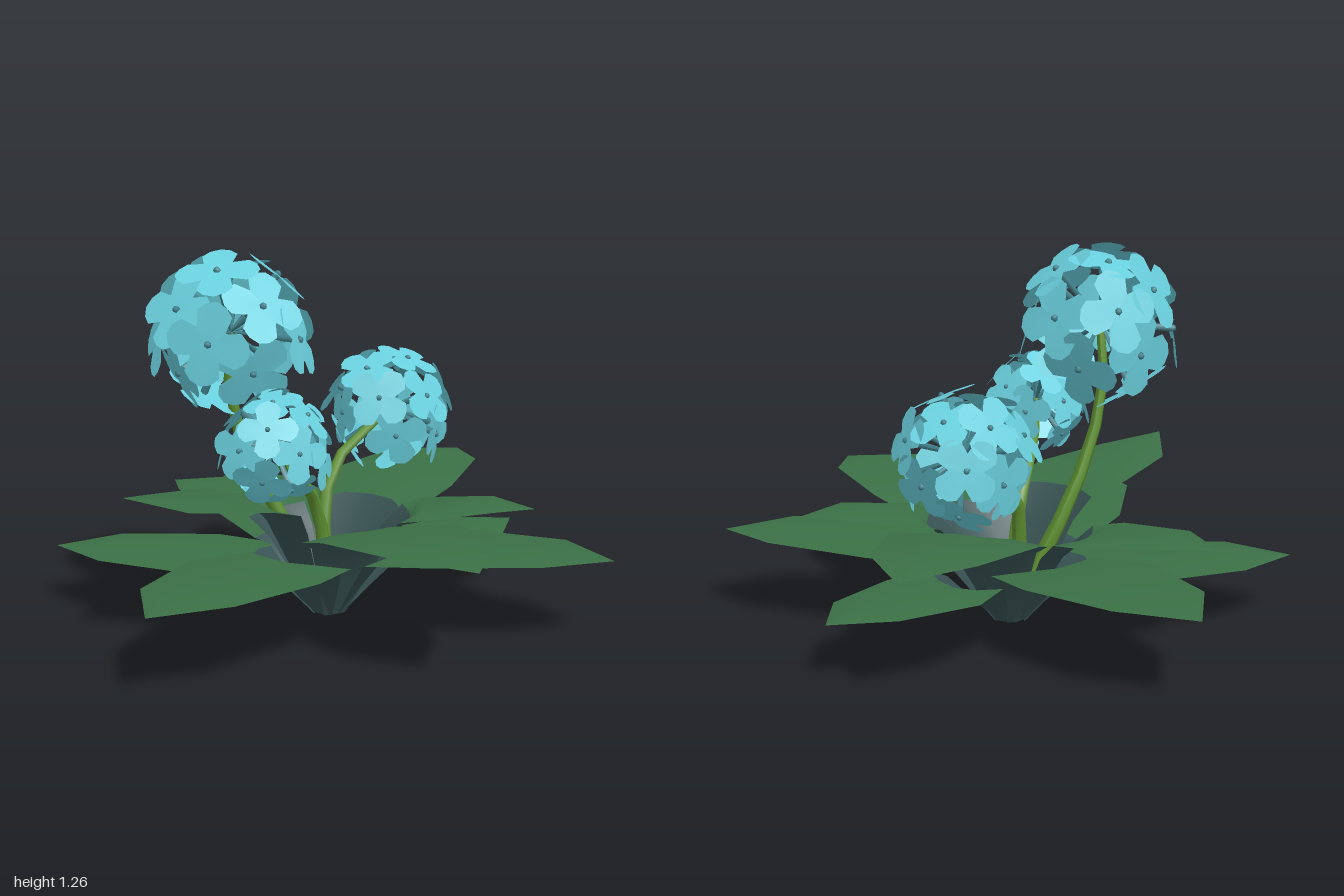
import * as THREE from 'three';

const mat = (name, color, side = THREE.FrontSide) => {
  const m = new THREE.MeshStandardMaterial({ color, side });
  m.name = name;
  return m;
};

const BASE = new THREE.Vector3(0.05, 0, -0.04);
const SHEATH_R = 0.28;

// Piecewise linear lookup in a list of [x, y] points
function lookup(points, x) {
  for (let i = 1; i < points.length; i++) {
    const [x0, y0] = points[i - 1], [x1, y1] = points[i];
    if (x <= x1) return y0 + (y1 - y0) * (x - x0) / (x1 - x0);
  }
  return points[points.length - 1][1];
}

// Surface through rows of points, facing up
function strip(rows) {
  const n = rows[0].length, index = [];
  for (let i = 0; i < rows.length - 1; i++) {
    for (let j = 0; j < n - 1; j++) {
      const a = i * n + j, b = a + n;
      index.push(a, a + 1, b, a + 1, b + 1, b);
    }
  }
  const g = new THREE.BufferGeometry();
  g.setAttribute('position', new THREE.Float32BufferAttribute(rows.flat(2), 3));
  g.setIndex(index);
  g.computeVertexNormals();
  return g;
}

// One leaf: steep dark sheath, then a broad, nearly level pointed blade
function makeLeaf({ tip, h, width = 1, tipH = 0.93 }, sheathMat, bladeMat) {
  const dx = tip[0] - BASE.x, dz = tip[1] - BASE.z;
  const len = Math.hypot(dx, dz);
  const height = [[0.045, 0], [0.21, 0.75 * h], [SHEATH_R, 0.84 * h],
    [0.45 * len, 0.94 * h], [0.8 * len, h], [len, tipH * h]];
  const row = (a, w, cup = 0, round = false) => [-1, -0.5, 0, 0.5, 1].map((u) => {
    const side = u * w * width;
    const along = round ? Math.sqrt(a * a - side * side) : a;
    return [along, lookup(height, along) + cup * u * u, side];
  });
  const edge = row(SHEATH_R, 0.2, 0.03, true);
  const sheath = strip([row(0.045, 0.04), row(0.11, 0.1, 0.025), row(0.175, 0.155, 0.04), edge]);
  const blade = strip([edge, row(0.45 * len, 0.25, -0.012), row(0.8 * len, 0.175, -0.014), row(len, 0.001)]);

  const leaf = new THREE.Group();
  leaf.name = 'leaf';
  const s = new THREE.Mesh(sheath, sheathMat);
  s.name = 'leafSheath';
  const b = new THREE.Mesh(blade, bladeMat);
  b.name = 'leafBlade';
  leaf.add(s, b);
  leaf.position.copy(BASE);
  leaf.rotation.y = -Math.atan2(dz, dx);
  return leaf;
}

// Tapered stem along a curve
function makeStem(points, r0, r1, material) {
  const curve = new THREE.CatmullRomCurve3(points.map((p) => new THREE.Vector3(...p)));
  const rings = 6, sides = 6;
  const g = new THREE.TubeGeometry(curve, rings, 1, sides, false);
  const p = g.attributes.position, c = new THREE.Vector3(), v = new THREE.Vector3();
  for (let i = 0; i < p.count; i++) {
    const t = Math.floor(i / (sides + 1)) / rings;
    curve.getPointAt(t, c);
    v.fromBufferAttribute(p, i).sub(c).multiplyScalar(r0 + (r1 - r0) * t).add(c);
    p.setXYZ(i, v.x, v.y, v.z);
  }
  g.computeVertexNormals();
  const stem = new THREE.Mesh(g, material);
  stem.name = 'stem';
  return stem;
}

// Four broad notched petals on a unit disc facing +y, nearly flat
function petalGeometry() {
  const g = new THREE.CircleGeometry(1, 24);
  const p = g.attributes.position;
  const lobes = [0.52, 0.9, 1.02, 1.08, 1.02, 0.9];
  for (let i = 1; i < p.count; i++) {
    const k = lobes[(i - 1) % 6];
    p.setXYZ(i, p.getX(i) * k, p.getY(i) * k, -0.05 * k * k);
  }
  g.rotateX(-Math.PI / 2);
  g.computeVertexNormals();
  return g;
}

export function createModel() {
  const group = new THREE.Group();
  group.name = 'floweringPlant';
  const leafMat = mat('leaf green', 0x3b7046, THREE.DoubleSide);
  const sheathMat = mat('dark slate green', 0x385253, THREE.DoubleSide);
  const stemMat = mat('stem green', 0x5f9132);
  const petalMat = mat('petal blue', 0x6ad0de, THREE.DoubleSide);
  const stalkMat = mat('dark teal', 0x43858f);

  // Leaf rosette, from the low outer leaves to the upright inner ones
  const leaves = [
    { tip: [-0.43, -0.87], h: 0.215 },
    { tip: [0.88, 0.18], h: 0.205, width: 0.82 },
    { tip: [0.58, -0.91], h: 0.29 },
    { tip: [0.35, 0.90], h: 0.295 },
    { tip: [-1.0, 0.08], h: 0.29 },
    { tip: [0.99, -0.13], h: 0.425 },
    { tip: [-0.36, 0.83], h: 0.42 },
    { tip: [0.10, -0.79], h: 0.37, width: 0.72 },
    { tip: [0.43, 0.55], h: 0.405, width: 0.66 },
    { tip: [-0.71, -0.28], h: 0.49, width: 0.82, tipH: 1.06 },
  ];
  for (const spec of leaves) group.add(makeLeaf(spec, sheathMat, leafMat));

  // Thin root collar closing the bottom of the rosette
  const collar = new THREE.Mesh(new THREE.CylinderGeometry(0.055, 0.05, 0.01, 10), sheathMat);
  collar.name = 'rootCollar';
  collar.position.set(BASE.x, 0.005, BASE.z);
  group.add(collar);

  // Flower heads: stem path ends at the centre of each ball
  const petals = petalGeometry();
  const stalk = new THREE.CylinderGeometry(0.014, 0.004, 1, 5).translate(0, 0.5, 0);
  const eye = new THREE.SphereGeometry(1, 6, 4);
  const up = new THREE.Vector3(0, 1, 0);
  const heads = [
    { name: 'tallFlowerHead', R: 0.238, r: 0.13, count: 16, axis: [-0.05, 1, -0.25], stemR: 0.032,
      path: [[0.05, 0.02, -0.05], [-0.05, 0.38, -0.2], [-0.15, 0.6, -0.25], [-0.2, 0.82, -0.27], [-0.21, 0.99, -0.25]] },
    { name: 'leftFlowerHead', R: 0.195, r: 0.105, count: 16, axis: [0.45, 0.9, 0], stemR: 0.03,
      path: [[0.06, 0.02, -0.04], [0.1, 0.33, -0.1], [0.18, 0.49, -0.11], [0.32, 0.58, -0.09], [0.45, 0.65, -0.07]] },
    { name: 'rightFlowerHead', R: 0.16, r: 0.09, count: 16, axis: [-0.45, 0.9, 0.1], stemR: 0.028,
      path: [[0.04, 0.02, -0.03], [0.0, 0.38, -0.05], [-0.12, 0.5, -0.03], [-0.28, 0.585, 0.02], [-0.37, 0.67, 0.06]] },
  ];
  for (const { name, R, r, count, axis, stemR, path } of heads) {
    group.add(makeStem(path, stemR, 0.014, stemMat));
    const head = new THREE.Group();
    head.name = name;
    head.position.set(...path[path.length - 1]);
    head.quaternion.setFromUnitVectors(up, new THREE.Vector3(...axis).normalize());
    // Florets spread round the ball, each a little tilted, with a gap for the stem
    for (let i = 0; i < count; i++) {
      const y = 0.95 - 1.7 * i / (count - 1);
      const a = i * 2.39996, s = Math.sqrt(1 - y * y);
      const floret = new THREE.Group();
      floret.name = 'floret';
      floret.quaternion.setFromUnitVectors(up, new THREE.Vector3(s * Math.cos(a), y, s * Math.sin(a)));
      const reach = R * (i % 2 ? 1.03 : 0.95);
      const stem = new THREE.Mesh(stalk, stalkMat);
      stem.name = 'floretStalk';
      stem.scale.y = reach - 0.003;
      const disc = new THREE.Mesh(petals, petalMat);
      disc.name = 'petals';
      disc.position.y = reach;
      disc.rotation.set(0.2 * Math.sin(i * 2.1), i * 1.3, 0.2 * Math.cos(i * 3.7));
      disc.scale.setScalar(r);
      const dot = new THREE.Mesh(eye, stalkMat);
      dot.name = 'floretEye';
      dot.position.y = reach;
      dot.scale.setScalar(r * 0.1);
      floret.add(stem, disc, dot);
      head.add(floret);
    }
    group.add(head);
  }
  return group;
}
